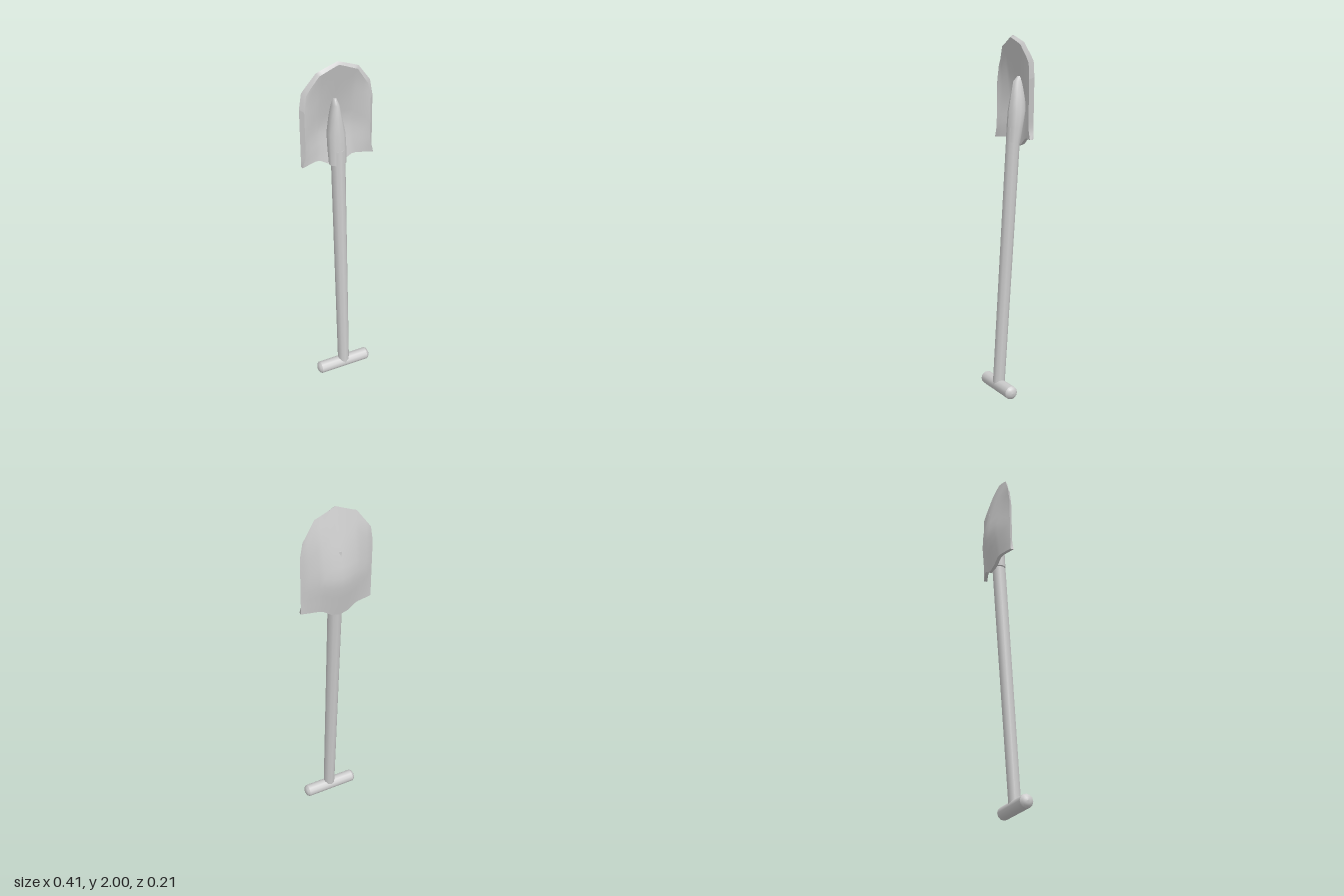
import * as THREE from 'three';

const material = new THREE.MeshStandardMaterial({ color: 0xcccccc });

// Piecewise linear lookup in a list of [key, value] pairs
function lookup(table, k) {
  for (let i = 1; i < table.length; i++) {
    const [k0, v0] = table[i - 1], [k1, v1] = table[i];
    if (k <= k1 || i === table.length - 1) {
      return THREE.MathUtils.lerp(v0, v1, THREE.MathUtils.clamp((k - k0) / (k1 - k0), 0, 1));
    }
  }
}

function addMesh(group, name, geometry) {
  const mesh = new THREE.Mesh(geometry, material);
  mesh.name = name;
  group.add(mesh);
  return mesh;
}

// Dished blade: a thin box bent to the outline, with a bevelled front rim
function bladeGeometry() {
  const columns = [0, 0.22, 0.45, 0.57, 0.8, 0.93, 1];
  const top = [[0, 2], [0.57, 1.955], [0.93, 1.855], [1, 1.77]];
  const bottom = [[0, 1.4], [0.22, 1.41], [0.45, 1.44], [0.57, 1.445], [1, 1.44]];
  const centreZ = [[1.4, -0.066], [1.62, -0.11], [1.755, -0.082], [2, -0.016]];
  const edgeZ = [[1.44, -0.029], [1.78, -0.035], [1.86, -0.036], [1.955, -0.012], [2, -0.016]];
  const n = columns.length - 1;
  const geometry = new THREE.BoxGeometry(2, 1, 1, 2 * n, 10, 1);
  const p = geometry.attributes.position;
  for (let i = 0; i < p.count; i++) {
    const side = Math.sign(p.getX(i));
    const u = columns[Math.round(Math.abs(p.getX(i)) * n)];
    const t = p.getY(i) + 0.5;
    const front = p.getZ(i) > 0;
    const y = THREE.MathUtils.lerp(lookup(bottom, u), lookup(top, u) - (front ? 0.012 : 0), t);
    const edge = lookup(edgeZ, y);
    const z = edge + (lookup(centreZ, y) - edge) * (1 - Math.pow(u, 1.5));
    // the front face is inset except near the lower corners
    const inset = front ? 0.02 * THREE.MathUtils.smoothstep(y, 1.44, 1.5) : 0;
    p.setXYZ(i, side * u * (0.205 - inset), y, z + (front ? 0.02 : 0));
  }
  geometry.computeVertexNormals();
  return geometry;
}

// Tapered socket: unit cylinder whose rings follow [y, centre z, half width, half depth]
function socketGeometry() {
  const rings = [
    [1.42, -0.018, 0.05, 0.038],
    [1.5, -0.028, 0.052, 0.044],
    [1.59, -0.04, 0.05, 0.05],
    [1.67, -0.046, 0.036, 0.043],
    [1.75, -0.05, 0.021, 0.032],
    [1.78, -0.062, 0.01, 0.018],
  ];
  const n = rings.length - 1;
  const geometry = new THREE.CylinderGeometry(1, 1, 1, 12, n);
  const p = geometry.attributes.position;
  for (let i = 0; i < p.count; i++) {
    const [y, zc, rx, rz] = rings[Math.round((p.getY(i) + 0.5) * n)];
    p.setXYZ(i, p.getX(i) * rx, y, zc + p.getZ(i) * rz);
  }
  geometry.computeVertexNormals();
  return geometry;
}

export function createModel() {
  const group = new THREE.Group();
  group.name = 'shovel';

  addMesh(group, 'blade', bladeGeometry());
  addMesh(group, 'socket', socketGeometry());

  // Leaning shaft
  const start = new THREE.Vector3(-0.004, 0.04, 0.073);
  const end = new THREE.Vector3(0.002, 1.5, -0.02);
  const direction = end.clone().sub(start);
  const shaft = addMesh(group, 'shaft', new THREE.CylinderGeometry(0.039, 0.034, direction.length(), 10));
  shaft.position.copy(start).add(end).multiplyScalar(0.5);
  shaft.quaternion.setFromUnitVectors(new THREE.Vector3(0, 1, 0), direction.normalize());

  // Cross grip with domed ends
  const gripBody = new THREE.CylinderGeometry(0.037, 0.037, 0.3, 12, 1, true);
  const grip = new THREE.Group();
  grip.name = 'grip';
  grip.position.set(-0.006, 0.036, 0.071);
  grip.rotation.z = -Math.PI / 2;
  group.add(grip);
  addMesh(grip, 'gripBar', gripBody);
  const dome = [[0.037, 0.15], [0.028, 0.162], [0.015, 0.168], [0, 0.17]].map(([r, y]) => new THREE.Vector2(r, y));
  for (const turn of [0, Math.PI]) {
    const end = addMesh(grip, 'gripEnd', new THREE.LatheGeometry(dome, 12));
    end.rotation.x = turn;
  }
  return group;
}
